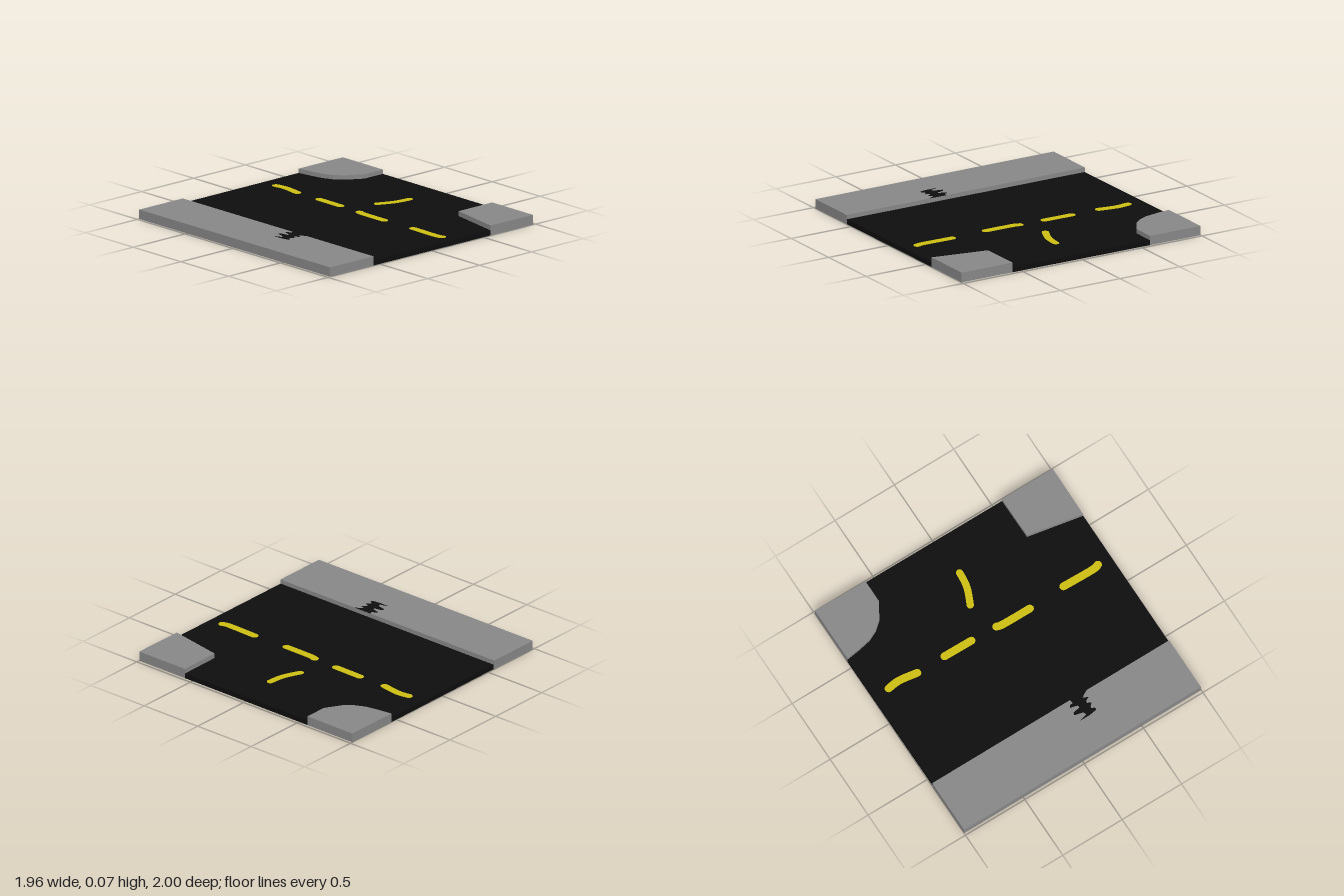
import * as THREE from 'three';

const asphalt = new THREE.MeshStandardMaterial({ name: 'asphalt black', color: 0x0d0d0d });
const concrete = new THREE.MeshStandardMaterial({ name: 'concrete grey', color: 0x868686 });
const paint = new THREE.MeshStandardMaterial({ name: 'road paint yellow', color: 0xcabc12 });

// Upright slab from a ground outline of [x, z] points
function slab(name, outline, base, height, material) {
  const shape = new THREE.Shape(outline.map(([x, z]) => new THREE.Vector2(x, -z)));
  const geometry = new THREE.ExtrudeGeometry(shape, { depth: height, bevelEnabled: false });
  geometry.rotateX(-Math.PI / 2).translate(0, base, 0);
  const mesh = new THREE.Mesh(geometry, material);
  mesh.name = name;
  return mesh;
}

// Outline of a round-ended brush stroke along a smooth path
function stroke(points, radius) {
  const curve = new THREE.SplineCurve(points.map(([x, z]) => new THREE.Vector2(x, z)));
  const left = [], right = [], steps = 10;
  for (let i = 0; i <= steps; i++) {
    const p = curve.getPoint(i / steps), t = curve.getTangent(i / steps);
    left.push([p.x - t.y * radius, p.y + t.x * radius]);
    right.unshift([p.x + t.y * radius, p.y - t.x * radius]);
  }
  const cap = (u, sign) => {
    const p = curve.getPoint(u), t = curve.getTangent(u).multiplyScalar(sign), arc = [];
    for (let k = 1; k < 6; k++) {
      const a = Math.PI * k / 6, c = Math.cos(a) * radius, s = Math.sin(a) * radius;
      arc.push([p.x - t.y * c + t.x * s, p.y + t.x * c + t.y * s]);
    }
    return arc;
  };
  return [...left, ...cap(1, 1), ...right, ...cap(0, -1)];
}

export function createModel() {
  const model = new THREE.Group();
  model.name = 'roadJunction';
  const roadTop = 0.037, kerbTop = 0.069;

  // Kerb edges shared by the road and the pavements
  const backKerb = [[0.555, -1], [0.57, -0.89], [0.59, -0.79], [0.625, -0.715], [0.68, -0.65], [0.8, -0.578], [0.978, -0.578]];
  const frontKerb = [[0.975, 0.57], [0.65, 0.573], [0.57, 0.995]];

  // Road surface
  model.add(slab('road', [[-0.56, -0.995], ...backKerb, ...frontKerb, [-0.56, 0.995]], 0, roadTop, asphalt));

  // Pavements
  model.add(slab('sidePavement', [[-0.983, -1], [-0.563, -1], [-0.56, 0.997], [-0.978, 0.997]], 0, kerbTop, concrete));
  model.add(slab('backCornerPavement', [...backKerb, [0.98, -1]], 0, kerbTop, concrete));
  model.add(slab('frontCornerPavement', [...frontKerb, [0.975, 0.998]], 0, 0.073, concrete));

  // Painted lane dashes
  const dashes = [
    [[0.215, -0.87], [0.225, -0.8], [0.222, -0.74], [0.205, -0.635]],
    [[0.206, -0.405], [0.203, -0.18]],
    [[0.197, 0.025], [0.186, 0.08], [0.184, 0.3]],
    [[0.196, 0.59], [0.191, 0.83], [0.203, 0.885]],
  ];
  dashes.forEach((path, i) => model.add(slab(`laneDash${i + 1}`, stroke(path, 0.029), roadTop, 0.003, paint)));
  const sideDash = [[0.433, -0.043], [0.53, 0], [0.6, 0.018], [0.68, 0.025]];
  model.add(slab('sideRoadDash', stroke(sideDash, 0.026), roadTop, 0.003, paint));

  // Jagged dark patch at the pavement edge
  const patch = [
    [-0.732, 0.14], [-0.715, 0.2], [-0.69, 0.19], [-0.675, 0.125], [-0.655, 0.13], [-0.645, 0.19],
    [-0.625, 0.185], [-0.612, 0.13], [-0.596, 0.14], [-0.59, 0.165], [-0.561, 0.16], [-0.561, 0.3],
    [-0.578, 0.27], [-0.596, 0.245], [-0.612, 0.285], [-0.628, 0.255], [-0.645, 0.25], [-0.658, 0.28],
    [-0.678, 0.26], [-0.695, 0.255], [-0.705, 0.28], [-0.722, 0.28], [-0.732, 0.22],
  ];
  model.add(slab('pavementPatch', patch, kerbTop, 0.002, asphalt));
  return model;
}
